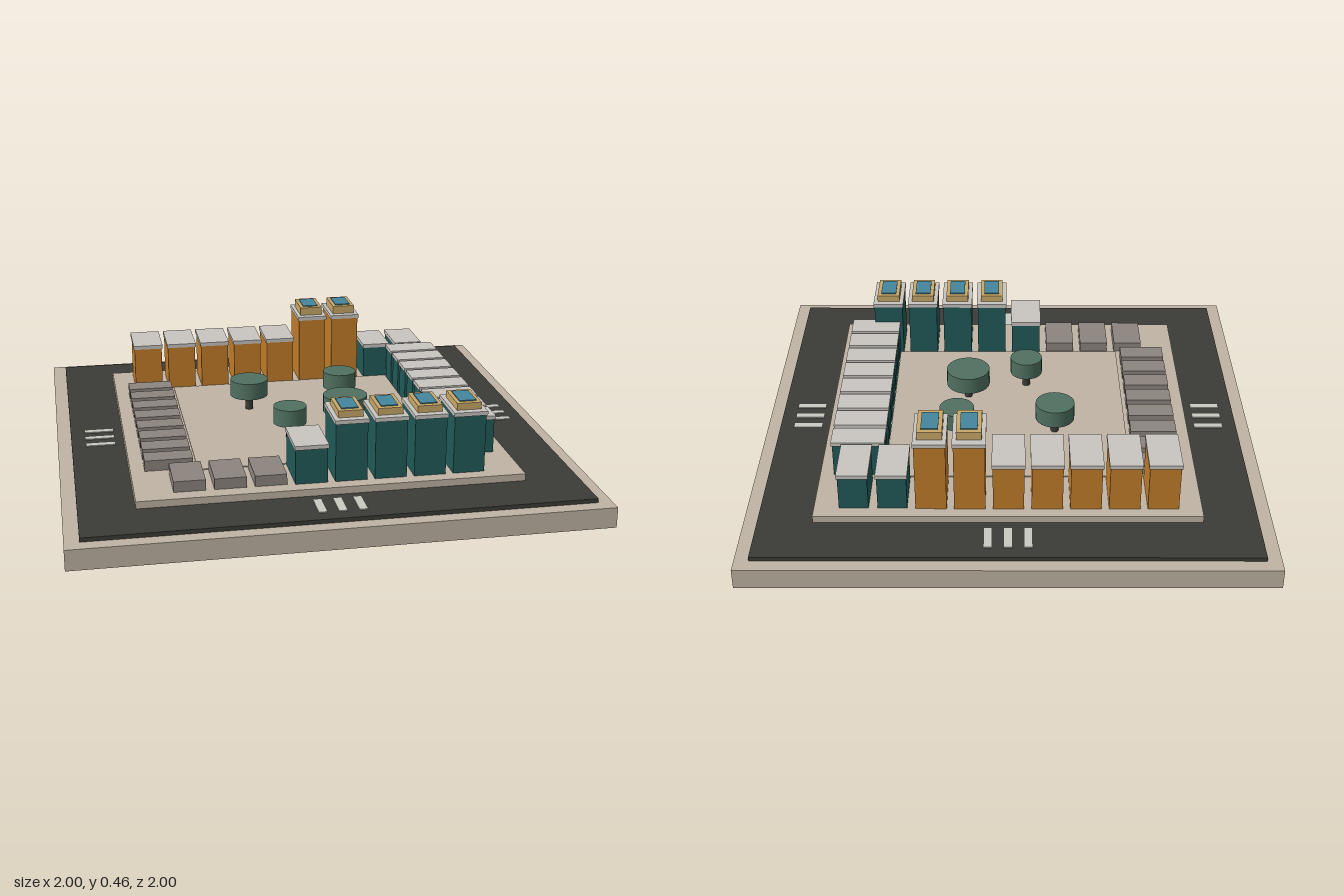
import * as THREE from 'three';

const mat = (name, color) => {
  const m = new THREE.MeshStandardMaterial({ color });
  m.name = name;
  return m;
};

export function createModel() {
  const stone = mat('stone', 0xbfb3a3);
  const asphalt = mat('asphalt', 0x3b3b36);
  const paint = mat('roadPaint', 0xc9cbc2);
  const ochre = mat('ochreWall', 0xc07c2a);
  const teal = mat('tealWall', 0x205a58);
  const roofGrey = mat('roofGrey', 0xc8c5c0);
  const darkGrey = mat('lowBlockGrey', 0x8c847e);
  const gold = mat('goldTrim', 0xc8a868);
  const glass = mat('skylightGlass', 0x45859c);
  const leaf = mat('foliage', 0x4f7060);

  const model = new THREE.Group();
  model.name = 'cityBlock';

  // Box standing on height y0 and reaching y1
  const box = (parent, name, material, x, z, w, d, y0, y1) => {
    const mesh = new THREE.Mesh(new THREE.BoxGeometry(w, y1 - y0, d), material);
    mesh.position.set(x, (y0 + y1) / 2, z);
    mesh.name = name;
    parent.add(mesh);
    return mesh;
  };

  // Ground layers
  box(model, 'base', stone, 0, 0, 2, 2, 0, 0.08);
  box(model, 'road', asphalt, 0, 0, 1.89, 1.89, 0.08, 0.096);
  box(model, 'plaza', stone, 0, 0, 1.47, 1.47, 0.096, 0.124);
  box(model, 'courtyard', stone, 0, 0, 0.96, 0.96, 0.124, 0.128);

  // Crossings: three stripes on each side of the road
  for (let side = 0; side < 4; side++) {
    const crossing = new THREE.Group();
    crossing.name = 'crossing';
    crossing.rotation.y = side * Math.PI / 2;
    for (const x of [-0.075, 0, 0.075]) {
      box(crossing, 'stripe', paint, x, 0.83, 0.032, 0.118, 0.096, 0.1);
    }
    model.add(crossing);
  }

  const FLOOR = 0.124;
  const ROOF = 0.016;

  // Building: wall block, overhanging roof slab and optional framed skylight
  const building = (wall, x, z, w, d, top, skylight = 0) => {
    const g = new THREE.Group();
    g.name = 'building';
    box(g, 'walls', wall, x, z, w - 0.008, d - 0.012, FLOOR, top - ROOF);
    box(g, 'roofSlab', roofGrey, x, z, w, d, top - ROOF, top);
    if (skylight) {
      box(g, 'skylightFrame', gold, x, z, 0.095, 0.152, top, top + skylight);
      box(g, 'skylight', glass, x, z, 0.065, 0.112, top + skylight, top + skylight + 0.004);
    }
    model.add(g);
  };

  // Back row: ochre houses, two towers, two low teal houses
  for (let i = 0; i < 9; i++) {
    const x = -0.587 + i * 0.1463;
    if (i < 5) building(ochre, x, -0.587, 0.126, 0.212, 0.326);
    else if (i < 7) building(ochre, x, -0.587, 0.126, 0.212, 0.42, 0.034);
    else building(teal, x, -0.585, 0.12, 0.208, 0.277);
  }

  // Front row: three low blocks, one low house, four towers
  for (let i = 0; i < 8; i++) {
    const x = -0.532 + i * 0.1513;
    if (i < 3) box(model, 'lowBlock', darkGrey, x, 0.583, 0.12, 0.184, FLOOR, 0.166);
    else if (i === 3) building(teal, x, 0.582, 0.13, 0.21, 0.277);
    else building(teal, x, 0.582, 0.13, 0.21, 0.368, 0.027);
  }

  // Side rows: teal houses on the left (+x), low blocks on the right (-x)
  for (let i = 0; i < 8; i++) {
    building(teal, 0.581, -0.417 + i * 0.1241, 0.208, 0.105, 0.277);
    box(model, 'lowBlock', darkGrey, -0.588, -0.417 + i * 0.1185, 0.185, 0.087, FLOOR, 0.166);
  }

  // Courtyard trees: x, z, crown radius
  for (const [x, z, r] of [[-0.19, -0.155, 0.079], [0.207, -0.19, 0.07], [0.168, 0.112, 0.09], [-0.077, 0.205, 0.067]]) {
    const tree = new THREE.Group();
    tree.name = 'tree';
    const trunk = new THREE.Mesh(new THREE.CylinderGeometry(0.016, 0.016, 0.07, 12), asphalt);
    trunk.name = 'trunk';
    trunk.position.y = 0.16;
    const crown = new THREE.Mesh(new THREE.CylinderGeometry(r, r, 0.07, 24), leaf);
    crown.name = 'crown';
    crown.position.y = 0.226;
    tree.add(trunk, crown);
    tree.position.set(x, 0, z);
    model.add(tree);
  }

  return model;
}
